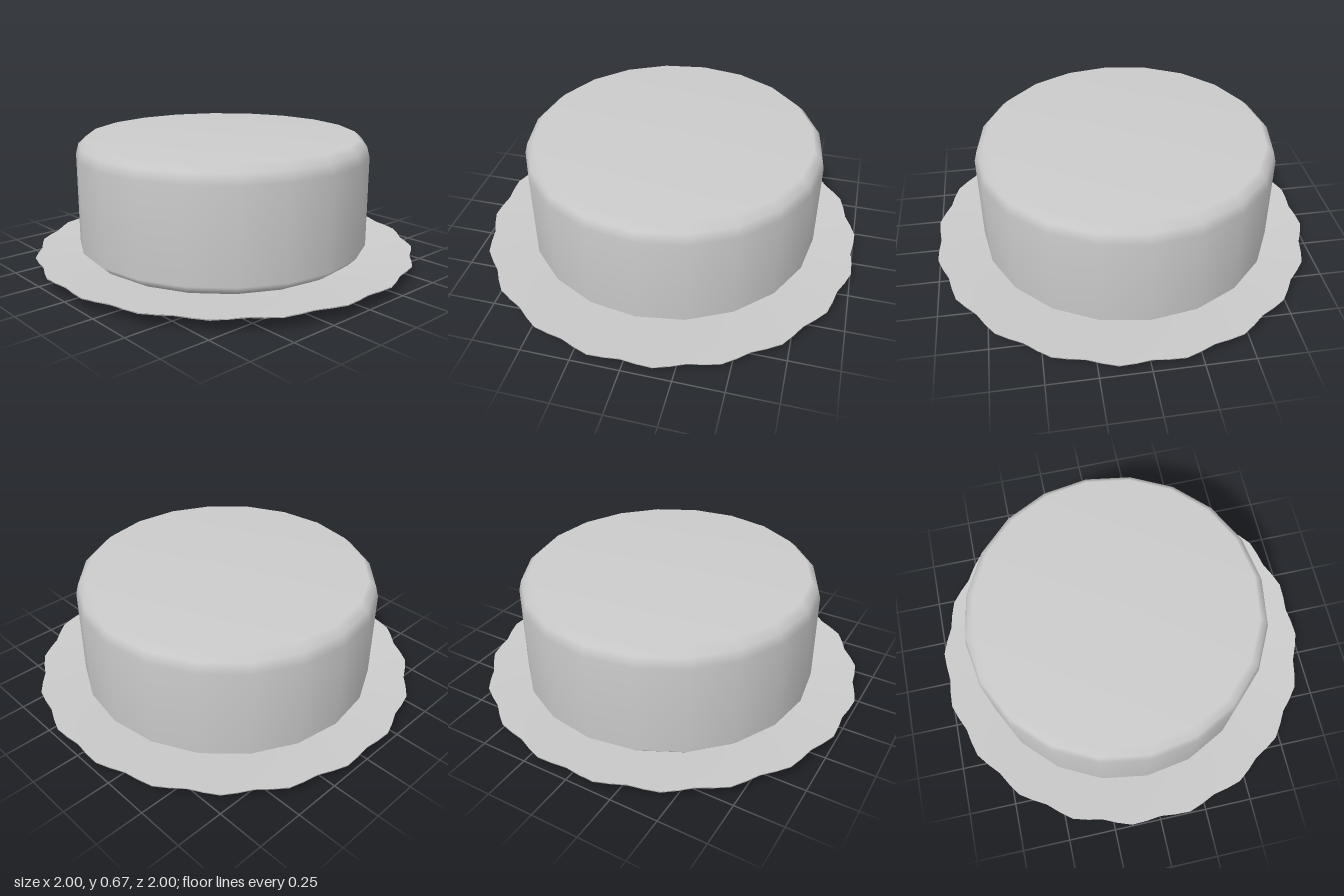
import * as THREE from 'three';

const material = new THREE.MeshStandardMaterial({ color: 0xcccccc, side: THREE.DoubleSide });

function lathe(name, profile, segments) {
  const points = profile.map(([r, y]) => new THREE.Vector2(r, y));
  const mesh = new THREE.Mesh(new THREE.LatheGeometry(points, segments), material);
  mesh.name = name;
  return mesh;
}

export function createModel() {
  const group = new THREE.Group();
  group.name = 'cakeOnPlate';

  // Thin, shallow dished plate: underside out to the rim, then back along the top
  const plate = lathe('plate', [
    [0, 0], [0.3, 0.003], [0.52, 0.012], [0.75, 0.037], [1, 0.065],
    [1, 0.07], [0.75, 0.043], [0.52, 0.019], [0.3, 0.01], [0, 0.008],
  ], 80);

  // Twenty shallow scallops around the rim
  const pos = plate.geometry.attributes.position;
  for (let i = 0; i < pos.count; i++) {
    const x = pos.getX(i), z = pos.getZ(i);
    if (Math.hypot(x, z) < 0.9) continue;
    const k = 1 - 0.012 * Math.cos(20 * Math.atan2(x, z));
    pos.setX(i, x * k);
    pos.setZ(i, z * k);
  }
  group.add(plate);

  // Twenty-sided cake with softened top and bottom edges, slightly off centre
  const cake = lathe('cake', [
    [0, 0.03], [0.7, 0.045], [0.735, 0.066], [0.775, 0.105],
    [0.775, 0.58], [0.76, 0.635], [0.72, 0.672], [0, 0.672],
  ], 20);
  cake.position.set(-0.025, 0, -0.005);
  group.add(cake);

  return group;
}
